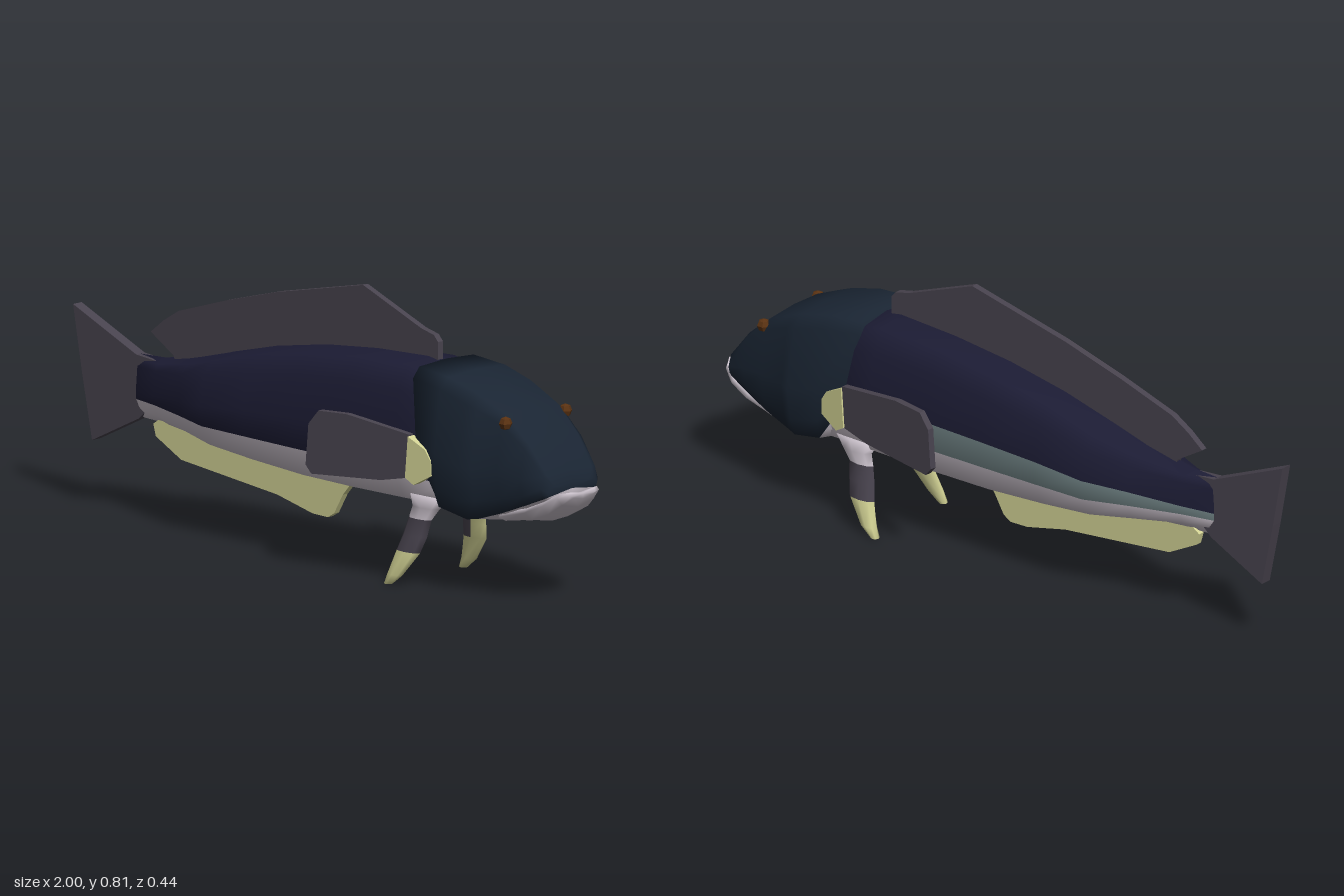
import * as THREE from 'three';

const COLORS = {
  navy: 0x1c1c34, head: 0x1a2533, stripe: 0x6c7e80, belly: 0xcfc6d0,
  fin: 0x48434e, cream: 0xd2d294, eye: 0x5a3212,
};
const material = (name, flat = false) => new THREE.MeshStandardMaterial({
  color: COLORS[name], side: THREE.DoubleSide, flatShading: flat,
});

// Smooth skin through closed rings of points; colorOf(i, j) picks the colour of each patch.
function loft(name, rings, colorOf) {
  const centre = (ring) => {
    const c = [0, 1, 2].map((k) => ring.reduce((s, p) => s + p[k], 0) / ring.length);
    return ring.map(() => c);
  };
  const all = [centre(rings[0]), ...rings, centre(rings[rings.length - 1])];
  const n = rings[0].length;
  const index = [];
  const parts = {};
  for (let i = 0; i < all.length - 1; i++) {
    for (let j = 0; j < n; j++) {
      const k = (j + 1) % n;
      const a = i * n + j, b = a + n, c = i * n + k, d = c + n;
      const row = Math.min(Math.max(i - 1, 0), rings.length - 2);
      const tris = [];
      if (i > 0) tris.push(a, c, b);
      else tris.push(c, d, b);
      if (i > 0 && i < all.length - 2) tris.push(c, d, b);
      index.push(...tris);
      (parts[colorOf(row, j)] ??= []).push(...tris);
    }
  }
  const geo = new THREE.BufferGeometry();
  geo.setAttribute('position', new THREE.Float32BufferAttribute(all.flat(2), 3));
  geo.setIndex(index);
  geo.computeVertexNormals();
  const group = new THREE.Group();
  group.name = name;
  for (const [color, idx] of Object.entries(parts)) {
    const g = new THREE.BufferGeometry();
    g.setAttribute('position', geo.attributes.position);
    g.setAttribute('normal', geo.attributes.normal);
    g.setIndex(idx);
    const mesh = new THREE.Mesh(g, material(color));
    mesh.name = `${name} ${color}`;
    group.add(mesh);
  }
  return group;
}

// Completes a half ring (top centre to bottom centre) with its mirror image.
const mirrorRing = (half) => [
  ...half,
  ...half.slice(1, -1).reverse().map(([x, y, z]) => [x, y, -z]),
];

// Thin fin cut from an outline and centred on its own thickness.
function fin(name, points, color, depth = 0.02) {
  const shape = new THREE.Shape(points.map(([x, y]) => new THREE.Vector2(x, y)));
  const geo = new THREE.ExtrudeGeometry(shape, { depth, bevelEnabled: false });
  geo.translate(0, 0, -depth / 2);
  const mesh = new THREE.Mesh(geo, material(color, true));
  mesh.name = name;
  return mesh;
}

function createBody() {
  // x, top, bottom, half width, belly line, stripe top
  const stations = [
    [-0.75, 0.472, 0.29, 0.018, 0.343, 0.365],
    [-0.65, 0.476, 0.285, 0.05, 0.346, 0.372],
    [-0.5, 0.505, 0.27, 0.103, 0.346, 0.39],
    [-0.37, 0.54, 0.256, 0.148, 0.343, 0.402],
    [-0.2, 0.583, 0.24, 0.15, 0.34, 0.412],
    [0, 0.618, 0.226, 0.15, 0.336, 0.416],
    [0.2, 0.638, 0.222, 0.15, 0.333, 0.418],
    [0.4, 0.646, 0.222, 0.15, 0.33, 0.42],
    [0.6, 0.61, 0.222, 0.148, 0.32, 0.42],
  ];
  const rings = stations.map(([x, top, bot, w, line, stripe]) => mirrorRing([
    [x, top, 0],
    [x, top - 0.015, w * 0.62],
    [x, top - (top - line) * 0.25, w * 0.9],
    [x, stripe, w],
    [x, line, w * 0.97],
    [x, bot + 0.028, w * 0.74],
    [x, bot, 0],
  ]));
  return loft('body', rings, (i, j) => (j === 8 ? 'stripe' : j > 3 && j < 8 ? 'belly' : 'navy'));
}

function createHead() {
  // x, top, bottom, crown half width, cheek half width, cheek bottom y, its half width
  const stations = [
    [0.46, 0.645, 0.222, 0.11, 0.156, 0.29, 0.15],
    [0.58, 0.633, 0.22, 0.115, 0.173, 0.258, 0.155],
    [0.68, 0.606, 0.216, 0.112, 0.179, 0.235, 0.143],
    [0.715, 0.592, 0.216, 0.11, 0.163, 0.24, 0.132],
    [0.8, 0.555, 0.228, 0.105, 0.146, 0.268, 0.125],
    [0.88, 0.485, 0.25, 0.1, 0.131, 0.3, 0.115],
    [0.945, 0.4, 0.285, 0.09, 0.115, 0.327, 0.104],
    [0.958, 0.365, 0.31, 0.07, 0.1, 0.335, 0.09],
  ];
  const rings = stations.map(([x, top, bot, tw, w, yl, wl], i) => {
    const sweep = i ? 0 : 1; // the gill edge slants forward towards the throat
    const at = (t) => yl + (top - yl) * t;
    return mirrorRing([
      [x, top, 0],
      [x, top - 0.006, tw],
      [x, at(0.9), tw * 0.45 + w * 0.55],
      [x + 0.03 * sweep, at(0.42), w],
      [x + 0.07 * sweep, at(0.15), w * 0.6 + wl * 0.4],
      [x + 0.1 * sweep, yl, wl],
      [x + 0.1 * sweep, bot, 0],
    ]);
  });
  const head = loft('head', rings, (i, j) => (j === 5 || j === 6 ? 'belly' : 'head'));

  // Jutting lower jaw: x, top, bottom, half width
  const jaw = [
    [0.78, 0.265, 0.226, 0.118],
    [0.88, 0.292, 0.24, 0.116],
    [0.94, 0.318, 0.262, 0.108],
    [0.98, 0.344, 0.295, 0.085],
    [1, 0.347, 0.322, 0.05],
  ].map(([x, top, bot, w]) => mirrorRing([
    [x, top - 0.008, 0], [x, top, w * 0.9], [x, top - 0.012, w],
    [x, bot + (top - bot) * 0.3, w * 0.75], [x, bot, 0],
  ]));
  head.add(loft('lower jaw', jaw, () => 'belly'));
  return head;
}

// Eye, pectoral fin and pelvic fin of one side
function createSide() {
  const side = new THREE.Group();
  const eye = new THREE.Mesh(new THREE.SphereGeometry(0.02, 6, 4), material('eye', true));
  eye.name = 'eye';
  eye.position.set(0.812, 0.53, 0.121);
  side.add(eye);

  const pectoral = new THREE.Group();
  pectoral.name = 'pectoral fin';
  pectoral.add(
    fin('pectoral blade', [[0, 0.455], [-0.22, 0.485], [-0.32, 0.482], [-0.355, 0.44],
      [-0.365, 0.32], [-0.345, 0.296], [-0.1, 0.31], [0, 0.33]], 'fin'),
    fin('pectoral root', [[0.08, 0.39], [0.06, 0.42], [0, 0.45], [-0.01, 0.33],
      [0.02, 0.312], [0.08, 0.345]], 'cream', 0.03),
  );
  pectoral.position.set(0.48, 0, 0.165);
  pectoral.rotation.y = 0.13;
  side.add(pectoral);

  // y, back x, front x, z, half thickness
  const rings = [
    [0.27, 0.41, 0.57, 0.095, 0.035],
    [0.235, 0.43, 0.535, 0.105, 0.024],
    [0.2, 0.42, 0.508, 0.11, 0.017],
    [0.15, 0.407, 0.5, 0.12, 0.017],
    [0.105, 0.396, 0.487, 0.135, 0.018],
    [0.035, 0.375, 0.432, 0.15, 0.016],
    [0.005, 0.366, 0.392, 0.152, 0.013],
  ].map(([y, x0, x1, z, t]) => Array.from({ length: 8 }, (_, k) => {
    const a = (k / 8) * Math.PI * 2;
    return [(x0 + x1) / 2 + Math.cos(a) * (x1 - x0) / 2, y, z + Math.sin(a) * t];
  }));
  side.add(loft('pelvic fin', rings, (i, j) => {
    if (i < 2) return 'belly';
    return i > 3 || j === 7 || j === 6 ? 'cream' : 'fin';
  }));
  return side;
}

export function createModel() {
  const model = new THREE.Group();
  model.name = 'fish';
  model.add(createBody(), createHead());

  model.add(
    fin('dorsal fin', [[-0.7, 0.545], [-0.65, 0.585], [-0.59, 0.622], [-0.4, 0.682], [-0.2, 0.737],
      [0.14, 0.81], [0.37, 0.72], [0.42, 0.708], [0.436, 0.69], [0.436, 0.63], [0.2, 0.62],
      [0, 0.595], [-0.3, 0.54], [-0.5, 0.49], [-0.6, 0.465], [-0.61, 0.49]], 'fin'),
    fin('anal fin', [[-0.69, 0.28], [-0.68, 0.245], [-0.58, 0.192], [-0.2, 0.15], [-0.06, 0.117],
      [0, 0.115], [0.025, 0.13], [0.06, 0.19], [0.1, 0.235], [-0.2, 0.26], [-0.5, 0.29],
      [-0.66, 0.3]], 'cream'),
    fin('tail fin', [[-1, 0.58], [-0.965, 0.39], [-0.925, 0.197], [-0.74, 0.288], [-0.67, 0.35],
      [-0.67, 0.465], [-0.75, 0.472]], 'fin', 0.035),
  );

  const left = createSide();
  left.name = 'paired parts near side';
  const right = createSide();
  right.name = 'paired parts far side';
  right.scale.z = -1;
  model.add(left, right);
  return model;
}
